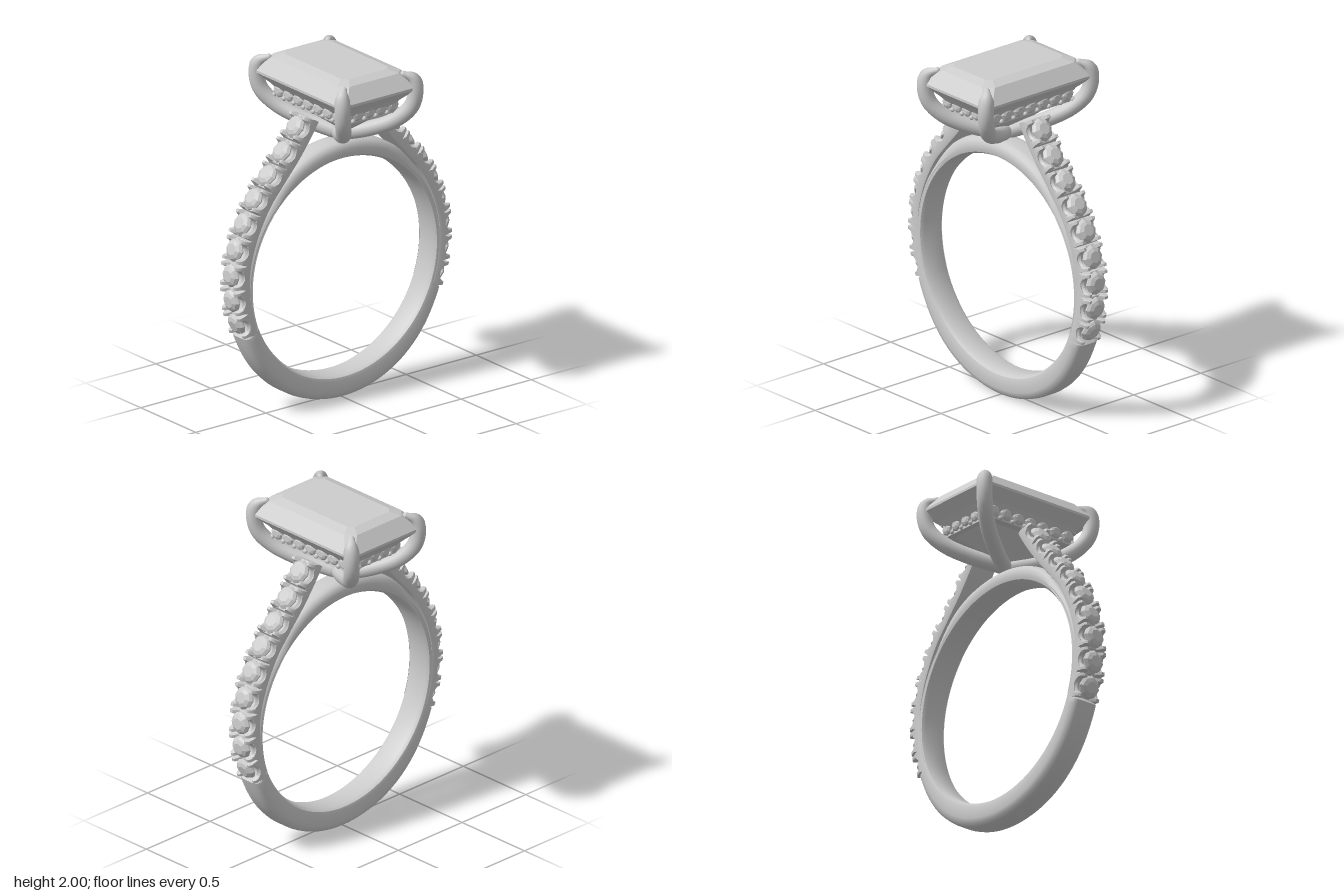
import * as THREE from 'three';
import { toCreasedNormals } from 'three/addons/utils/BufferGeometryUtils.js';

const V = (x, y, z = 0) => new THREE.Vector3(x, y, z);
const silver = new THREE.MeshStandardMaterial({ color: 0xcccccc });
silver.name = 'silver grey';

function mesh(name, geometry, parent) {
  const m = new THREE.Mesh(geometry, silver);
  m.name = name;
  parent.add(m);
  return m;
}

// Joins equal closed cross-sections; wraps round or closes both ends
function loft(rows, wrap, crease) {
  const n = rows[0].length, m = rows.length, index = [];
  for (let i = 0; i < (wrap ? m : m - 1); i++) {
    for (let j = 0; j < n; j++) {
      const k = (j + 1) % n, r = ((i + 1) % m) * n;
      index.push(i * n + j, i * n + k, r + k, i * n + j, r + k, r + j);
    }
  }
  if (!wrap) {
    const e = (m - 1) * n;
    for (let j = 1; j < n - 1; j++) index.push(0, j + 1, j, e, e + j, e + j + 1);
  }
  // Make the faces point outward
  const p = rows.flat();
  let volume = 0;
  for (let i = 0; i < index.length; i += 3) {
    volume += p[index[i]].dot(p[index[i + 1]].clone().cross(p[index[i + 2]]));
  }
  if (volume < 0) index.reverse();
  const g = new THREE.BufferGeometry().setFromPoints(p);
  g.setIndex(index);
  return toCreasedNormals(g, crease);
}

// Round faceted stone, girdle at y = 0
function roundGem(r) {
  const profile = [[0, -0.75], [1, -0.1], [1, 0], [0.82, 0.22], [0.5, 0.38], [0, 0.38]];
  const g = new THREE.LatheGeometry(profile.map(([x, y]) => new THREE.Vector2(x * r, y * r)), 8).toNonIndexed();
  g.computeVertexNormals();
  return g;
}

function placeGem(name, geometry, position, direction, parent) {
  const m = mesh(name, geometry, parent);
  m.position.copy(position);
  m.quaternion.setFromUnitVectors(V(0, 1, 0), direction);
}

// Finger band: thicker at the bottom, recessed beneath the stone-set rails
function bandGeometry() {
  const rows = [], steps = 160, inner = 0.645;
  for (let i = 0; i < steps; i++) {
    const a = (i / steps) * Math.PI * 2, s = Math.sin(a), c = Math.cos(a);
    const R = s < -0.36
      ? 0.75 + 0.035 * THREE.MathUtils.smoothstep(-s, 0.36, 1)
      : 0.705 + 0.04 * THREE.MathUtils.smoothstep(s, 0.6, 0.95);
    const section = [
      [inner, 0.06], [inner + 0.012, 0.08], [inner + 0.03, 0.085], [R - 0.045, 0.085],
      [R - 0.02, 0.077], [R - 0.005, 0.06], [R, 0.035],
    ];
    const full = [...section, ...section.map(([r, z]) => [r, -z]).reverse()];
    rows.push(full.map(([r, z]) => V(r * c, 0.785 + r * s, z)));
  }
  return loft(rows, true, 0.7);
}

// Shoulder rail with nine scalloped seats and slits between the claws
function buildShoulder(name) {
  const g = new THREE.Group();
  g.name = name;
  const path = new THREE.CatmullRomCurve3([
    V(0.705, 0.5), V(0.755, 0.64), V(0.775, 0.8), V(0.77, 0.93), V(0.735, 1.07), V(0.685, 1.19),
    V(0.61, 1.32), V(0.51, 1.44), V(0.405, 1.56), V(0.315, 1.68), V(0.27, 1.75),
  ]);
  const count = 9, steps = count * 28, rows = [];
  const frame = (u) => {
    const t = path.getTangentAt(u);
    return [path.getPointAt(u), V(t.y, -t.x)];
  };
  for (let i = 0; i <= steps; i++) {
    const u = i / steps, [p, n] = frame(u);
    const d = Math.abs(((u * count) % 1) - 0.5);
    let cut = 0;
    if (d < 0.3) cut = 0.05 * Math.sqrt(1 - (d / 0.3) ** 2);
    else if (d > 0.43) cut = 0.055 * Math.min(1, (d - 0.43) / 0.05);
    const section = [
      [0.11, 0.06], [0.1, 0.08], [0.085, 0.085], [Math.max(cut, 0.035) + 0.01, 0.085],
      [cut + 0.012, 0.078], [cut, 0.066], [cut + 0.003, 0.05], [Math.max(cut, 0.035), 0.025],
    ];
    const full = [...section, ...section.map(([h, z]) => [h, -z]).reverse()];
    rows.push(full.map(([h, z]) => p.clone().addScaledVector(n, -h).setZ(z)));
  }
  mesh('shoulderRail', loft(rows, false, 0.7), g);
  const gem = roundGem(0.069);
  for (let i = 0; i < count; i++) {
    const [p, n] = frame((i + 0.5) / count);
    placeGem('shoulderGem', gem, p.addScaledVector(n, -0.025), n, g);
  }
  return g;
}

// Step-cut centre stone from chamfered rectangles: [half x, half z, corner, y]
function centreStoneGeometry() {
  const levels = [
    [0.004, 0.1, 0.002, 1.605], [0.15, 0.27, 0.03, 1.735], [0.225, 0.35, 0.04, 1.825],
    [0.288, 0.413, 0.045, 1.885], [0.288, 0.413, 0.045, 1.9],
    [0.225, 0.345, 0.05, 1.98], [0.165, 0.288, 0.03, 2.0],
  ];
  const rows = levels.map(([x, z, c, y]) => [
    [x, z - c], [x - c, z], [c - x, z], [-x, z - c], [-x, c - z], [c - x, -z], [x - c, -z], [x, c - z],
  ].map(([a, b]) => V(a, y, b)));
  return loft(rows, false, 0.01);
}

// Claw sweeping from the bridge over a stone corner, narrowing at its tip
function buildProng(sx, sz, parent) {
  const curve = new THREE.CatmullRomCurve3([
    [0, 1.575, 0.03], [0.09, 1.618, 0.17], [0.185, 1.69, 0.305], [0.245, 1.78, 0.375],
    [0.261, 1.88, 0.392], [0.25, 1.945, 0.378], [0.212, 1.968, 0.342],
  ].map(([x, y, z]) => V(x * sx, y, z * sz)));
  const segs = 48, sides = 14, r = 0.045;
  const g = new THREE.TubeGeometry(curve, segs, r, sides);
  const pos = g.attributes.position, v = V(0, 0), taper = (u) => 1 - 0.6 * THREE.MathUtils.smoothstep(u, 0.87, 1);
  for (let i = 0; i <= segs; i++) {
    const c = curve.getPointAt(i / segs);
    for (let j = 0; j <= sides; j++) {
      const k = i * (sides + 1) + j;
      v.fromBufferAttribute(pos, k).sub(c).multiplyScalar(taper(i / segs)).add(c);
      pos.setXYZ(k, v.x, v.y, v.z);
    }
  }
  mesh('prong', g, parent);
  for (const u of [0, 1]) {
    mesh('prongEnd', new THREE.SphereGeometry(r * taper(u), 14, 10), parent).position.copy(curve.getPointAt(u));
  }
}

// Rectangular gallery set with small stones on all four sides
function buildHalo() {
  const g = new THREE.Group();
  g.name = 'halo';
  const rect = (x, z) => [[-x, -z], [x, -z], [x, z], [-x, z]].map(([a, b]) => new THREE.Vector2(a, b));
  const shape = new THREE.Shape(rect(0.195, 0.305));
  shape.holes.push(new THREE.Path(rect(0.145, 0.255)));
  const frame = new THREE.ExtrudeGeometry(shape, { depth: 0.095, bevelEnabled: false });
  frame.rotateX(-Math.PI / 2).translate(0, 1.735, 0);
  mesh('haloFrame', frame, g);
  const gem = roundGem(0.041), bead = new THREE.SphereGeometry(0.014, 8, 6);
  for (const s of [1, -1]) {
    for (const [count, gap, along, out, dist] of [
      [5, 0.082, V(1, 0), V(0, 0, s), 0.307],
      [7, 0.09, V(0, 0, 1), V(s, 0), 0.197],
    ]) {
      const at = (k, y, d) => along.clone().multiplyScalar(k * gap).addScaledVector(out, d).setY(y);
      for (let i = 0; i < count; i++) {
        placeGem('haloGem', gem, at(i - (count - 1) / 2, 1.783, dist), out, g);
      }
      for (let i = 0; i <= count; i++) {
        for (const y of [1.749, 1.817]) {
          mesh('haloBead', bead, g).position.copy(at((i - count / 2) * 0.98, y, dist));
        }
      }
    }
  }
  return g;
}

export function createModel() {
  const model = new THREE.Group();
  model.name = 'ring';
  mesh('band', bandGeometry(), model);
  model.add(buildShoulder('leftShoulder'));
  const right = buildShoulder('rightShoulder');
  right.rotation.y = Math.PI;
  model.add(right);
  mesh('centreStone', centreStoneGeometry(), model);
  model.add(buildHalo());
  for (const sx of [1, -1]) for (const sz of [1, -1]) buildProng(sx, sz, model);
  return model;
}
